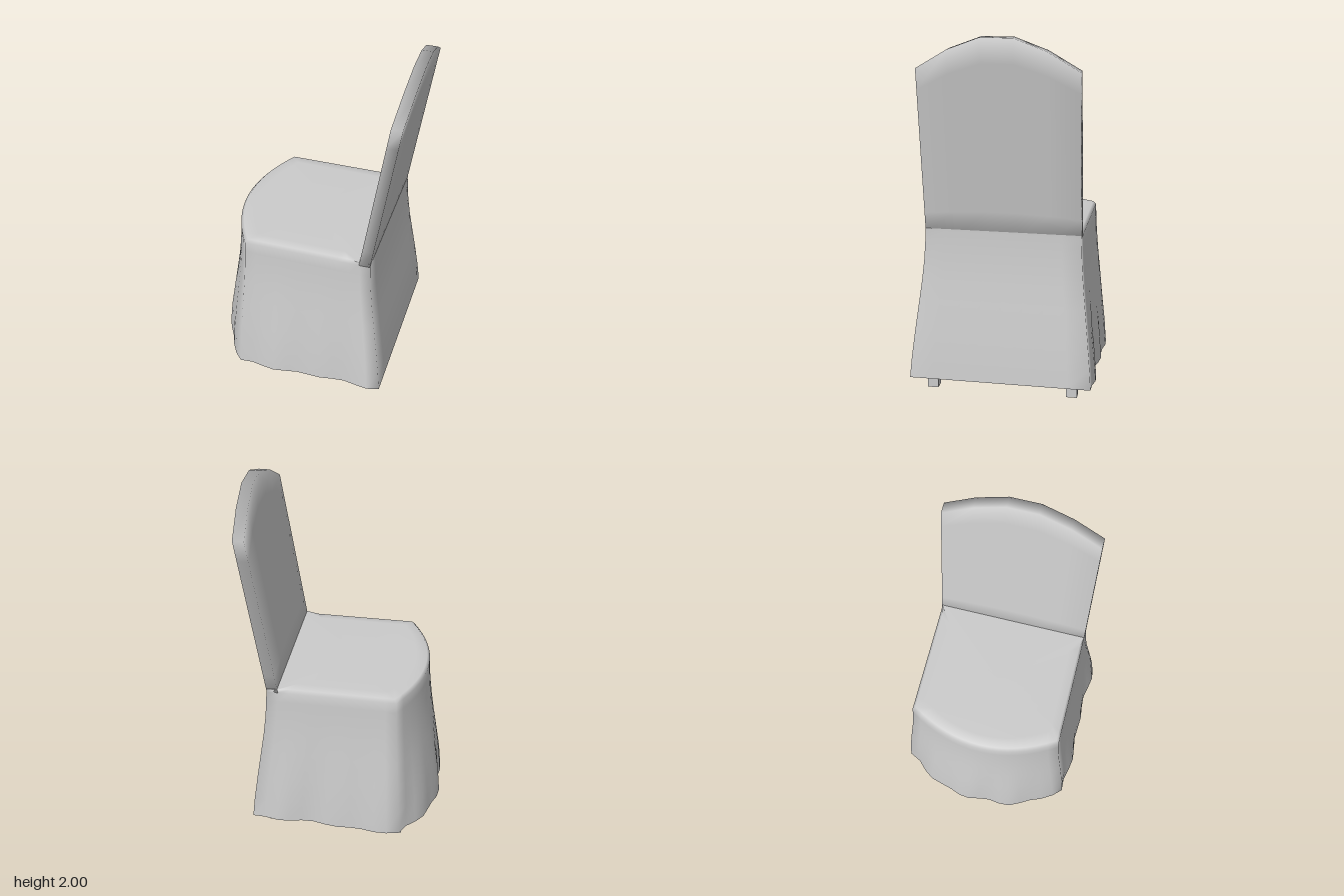
import * as THREE from 'three';
import { mergeVertices } from 'three/addons/utils/BufferGeometryUtils.js';

const lerp = THREE.MathUtils.lerp;
const fabric = new THREE.MeshStandardMaterial({ color: 0xcccccc, side: THREE.DoubleSide });
const wood = new THREE.MeshStandardMaterial({ color: 0xcccccc });

function add(group, name, geometry, material) {
  const mesh = new THREE.Mesh(geometry, material);
  mesh.name = name;
  group.add(mesh);
  return mesh;
}

// Plan outline of the cover: straight sides and back, bowed front (-x)
function outline(backX, cornerX, frontX, half, midZ) {
  const pts = [];
  const side = 12, front = 16, back = 8;
  for (let i = 0; i < side; i++) pts.push([lerp(backX, cornerX, i / side), half]);
  for (let i = 0; i < front; i++) {
    const s = 1 - 2 * i / front;
    pts.push([frontX + (cornerX - frontX) * s * s, half * s]);
  }
  for (let i = 0; i < side; i++) pts.push([lerp(cornerX, backX, i / side), -half]);
  for (let i = 0; i < back; i++) pts.push([backX, half * (2 * i / back - 1)]);
  return pts.map(([x, z]) => [x, z + midZ]);
}

// Seat top and draped skirt, lofted from the hem up to the seat
function drapeGeometry() {
  const top = outline(0.395, -0.325, -0.46, 0.43, -0.015);
  const hem = outline(0.49, -0.365, -0.555, 0.508, -0.01);
  const n = top.length;
  // [height, flare towards the hem]
  const levels = [[0.055, 1], [0.2, 0.88], [0.36, 0.66], [0.52, 0.42], [0.64, 0.24],
    [0.76, 0.1], [0.86, 0.03], [0.92, 0]];
  const pos = [], index = [];
  for (const [y, flare] of levels) {
    for (let i = 0; i < n; i++) {
      const ripple = 1 + flare ** 2 * (i > 0 && i < 40 ? 0.018 * Math.sin(i * 1.55) + 0.014 * Math.sin(i * 0.83 + 1) : 0);
      const x = lerp(top[i][0], hem[i][0], flare) * (i > 12 && i < 28 ? ripple : 1);
      const z = lerp(top[i][1], hem[i][1], flare) * ripple;
      const hemRise = flare === 1 ? 0.03 * (x + 0.55) / 1.05 : 0;
      pos.push(x, y + hemRise, z);
    }
  }
  // Softened rim of the seat, then its flat centre
  for (const [y, inset] of [[0.938, 0.015], [0.943, 0.07]]) {
    for (const [x, z] of top) {
      const k = 1 - inset / 0.43;
      pos.push(x > 0.3 ? x : x * k, y, x > 0.3 ? z : z * k);
    }
  }
  const rings = levels.length + 2;
  for (let k = 0; k < rings - 1; k++) {
    for (let i = 0; i < n; i++) {
      const j = (i + 1) % n;
      const a = k * n + i, b = k * n + j, c = a + n, d = b + n;
      index.push(a, c, b, b, c, d);
    }
  }
  const centre = rings * n;
  pos.push(-0.03, 0.943, -0.015);
  for (let i = 0; i < n; i++) index.push(centre, centre - n + (i + 1) % n, centre - n + i);
  const g = new THREE.BufferGeometry();
  g.setAttribute('position', new THREE.Float32BufferAttribute(pos, 3));
  g.setIndex(index);
  g.computeVertexNormals();
  return g;
}

// Leaning slab with a faceted arch along its top
function backrestGeometry() {
  let g = new THREE.BoxGeometry(0.062, 1, 0.86, 1, 8, 5);
  g.deleteAttribute('normal');
  g.deleteAttribute('uv');
  g = mergeVertices(g);
  const p = g.attributes.position;
  const arch = [2.0, 1.935, 1.832];
  const base = 0.91;
  for (let i = 0; i < p.count; i++) {
    const z = p.getZ(i);
    const crest = arch[Math.floor(Math.abs(z) / 0.17)];
    const y = base + (p.getY(i) + 0.5) * (crest - base);
    p.setXYZ(i, p.getX(i) + 0.365 + 0.158 * (y - 0.94), y, z - 0.015);
  }
  g.computeVertexNormals();
  return g;
}

export function createModel() {
  const chair = new THREE.Group();
  chair.name = 'coveredChair';
  add(chair, 'seatCoverAndSkirt', drapeGeometry(), fabric);
  add(chair, 'backrestCover', backrestGeometry(), fabric);

  // Short leg ends showing below the hem
  for (const [name, x] of [['frontLeg', -0.34], ['backLeg', 0.385]]) {
    for (const s of [1, -1]) {
      const leg = add(chair, name, new THREE.BoxGeometry(0.06, 0.13, 0.06), wood);
      leg.position.set(x, 0.065, -0.01 + s * 0.395);
    }
  }
  return chair;
}
